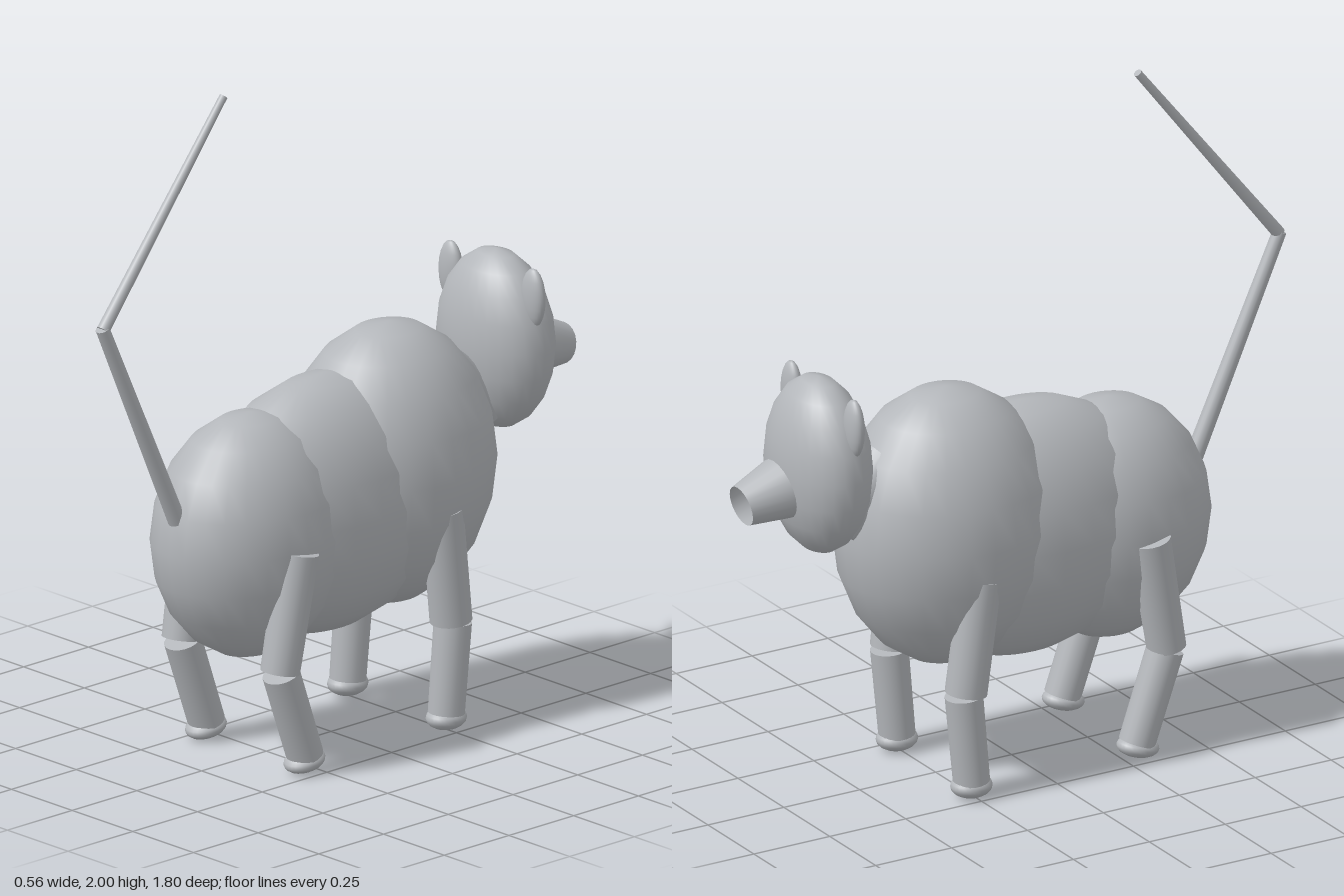
import * as THREE from 'three';

const grey = new THREE.MeshStandardMaterial({ color: 0xb4b7bb, side: THREE.DoubleSide });
grey.name = 'plain grey';

export function createModel() {
  const model = new THREE.Group();
  model.name = 'animal';

  function add(name, geometry) {
    const mesh = new THREE.Mesh(geometry, grey);
    mesh.name = name;
    model.add(mesh);
    return mesh;
  }

  // Ellipsoid from centre and radii
  function ellipsoid(name, centre, radii, rows = 10) {
    const mesh = add(name, new THREE.SphereGeometry(1, 28, rows));
    mesh.position.set(...centre);
    mesh.scale.set(...radii);
    return mesh;
  }

  // Tapered tube between two points
  function limb(name, from, to, r0, r1, open = false) {
    const a = new THREE.Vector3(...from);
    const b = new THREE.Vector3(...to);
    const mesh = add(name, new THREE.CylinderGeometry(r1, r0, a.distanceTo(b), 20, 1, open));
    mesh.position.copy(a).add(b).multiplyScalar(0.5);
    mesh.quaternion.setFromUnitVectors(new THREE.Vector3(0, 1, 0), b.clone().sub(a).normalize());
    return mesh;
  }

  // Body in three overlapping masses
  ellipsoid('chest', [0, 0.76, -0.22], [0.28, 0.415, 0.332]);
  ellipsoid('belly', [0, 0.70, 0.03], [0.247, 0.38, 0.45]);
  ellipsoid('rump', [0, 0.67, 0.315], [0.246, 0.36, 0.31]);

  // Neck, head and open muzzle
  limb('neck', [0, 0.985, -0.415], [0, 0.84, -0.59], 0.08, 0.08);
  ellipsoid('head', [0, 1.03, -0.637], [0.203, 0.265, 0.134]);
  limb('muzzle', [0, 0.978, -0.765], [0, 0.951, -0.89], 0.09, 0.06, true);

  for (const side of [-1, 1]) {
    const label = side > 0 ? 'left' : 'right';
    ellipsoid(label + 'Ear', [side * 0.17, 1.19, -0.622], [0.044, 0.088, 0.025]);

    // Hind leg
    limb(label + 'HindThigh', [side * 0.212, 0.667, 0.326], [side * 0.203, 0.322, 0.387], 0.061, 0.057);
    limb(label + 'HindShin', [side * 0.203, 0.315, 0.383], [side * 0.203, 0.05, 0.29], 0.054, 0.053);
    ellipsoid(label + 'HindFoot', [side * 0.203, 0.037, 0.293], [0.055, 0.03, 0.064]).rotation.x = 0.2;

    // Front leg
    limb(label + 'FrontThigh', [side * 0.212, 0.667, -0.23], [side * 0.203, 0.322, -0.273], 0.061, 0.061);
    limb(label + 'FrontShin', [side * 0.203, 0.315, -0.28], [side * 0.203, 0.05, -0.255], 0.055, 0.053);
    ellipsoid(label + 'FrontFoot', [side * 0.203, 0.036, -0.255], [0.055, 0.034, 0.062]);
  }

  // Bent tail
  limb('tailBase', [0, 0.77, 0.595], [0, 1.41, 0.883], 0.026, 0.02);
  limb('tailTip', [0, 1.405, 0.88], [0, 1.993, 0.415], 0.019, 0.012);

  return model;
}
